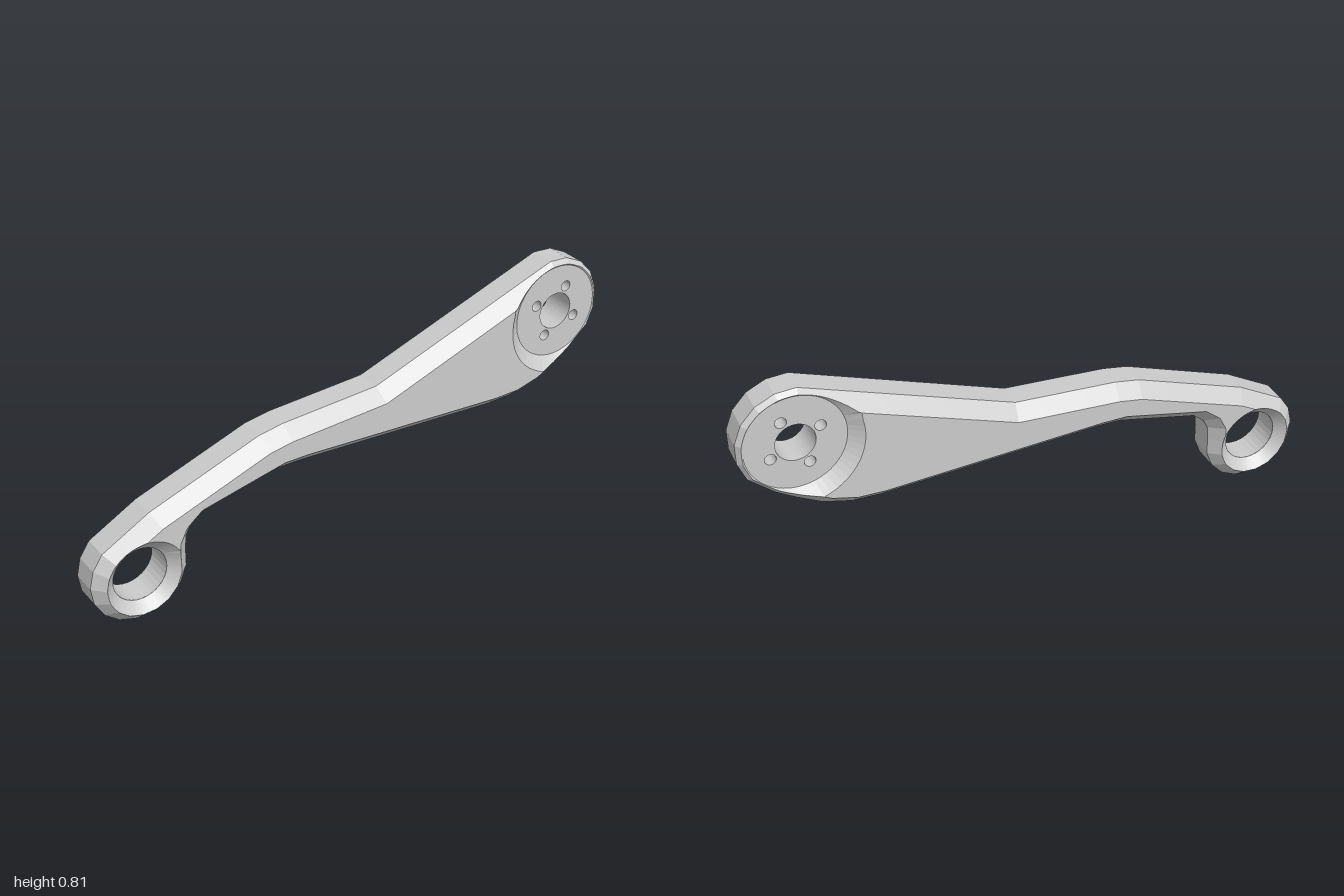
import * as THREE from 'three';

const WALL = 0.045, FULL = 0.095, INSET = 0.046;
const V = (x, y, z) => new THREE.Vector3(x, y, z);

// Conical cuts at the two ends: floor height at radius r, rising by slope
const eye = { x: -0.83, y: 0.172, r: 0.095, floor: 0.05, slope: 1 };
const mount = { x: 0.81, y: 0.627, r: 0.168, floor: 0.058, slope: 0.8 };
const coneHeight = (c, p) =>
  c.floor + Math.max(0, Math.hypot(p.x - c.x, p.y - c.y) - c.r) * c.slope;

function arc(c, r, from, to, steps) {
  return Array.from({ length: steps + 1 }, (_, i) => {
    const a = THREE.MathUtils.degToRad(from + (to - from) * i / steps);
    return [c.x + r * Math.cos(a), c.y + r * Math.sin(a)];
  });
}

// Silhouette corners, counter-clockwise
const corners = [
  [0.07, 0.56], [-0.29, 0.54], [-0.38, 0.525], [-0.78, 0.385],
  ...arc(eye, 0.17, 135, 370, 11),
  [-0.658, 0.25], [-0.64, 0.285], [-0.6, 0.317], [-0.31, 0.38], [-0.23, 0.38],
  [0.54, 0.337], [0.64, 0.34], [0.735, 0.365], [0.82, 0.41], [0.885, 0.45],
  ...arc(mount, 0.19, -33, 97, 6),
].map(([x, y]) => new THREE.Vector2(x, y));

// Mitred inset of the silhouette
function insetLoop(loop, d) {
  return loop.map((p, i) => {
    const a = loop[(i + loop.length - 1) % loop.length], b = loop[(i + 1) % loop.length];
    const u = p.clone().sub(a).normalize(), w = b.clone().sub(p).normalize();
    const n1 = new THREE.Vector2(-u.y, u.x), n2 = new THREE.Vector2(-w.y, w.x);
    const m = n1.clone().add(n2);
    return p.clone().addScaledVector(m, d / (1 + n1.dot(n2)));
  });
}

// Rim (top of side wall) and ridge (top of bevel, lowered where a cone cuts it)
function buildLoops() {
  const inner = insetLoop(corners, INSET), rim = [], ridge = [], owner = [];
  corners.forEach((p, i) => {
    const j = (i + 1) % corners.length;
    const n = Math.ceil(p.distanceTo(corners[j]) / 0.012);
    for (let k = 0; k < n; k++) {
      const o = p.clone().lerp(corners[j], k / n);
      const q = inner[i].clone().lerp(inner[j], k / n);
      const a = V(o.x, o.y, WALL), b = V(q.x, q.y, FULL);
      const cut = [eye, mount].find((c) => coneHeight(c, b) < FULL) || null;
      let t = 1;
      if (cut) {
        let lo = 0, hi = 1;
        for (let s = 0; s < 25; s++) {
          t = (lo + hi) / 2;
          const m = a.clone().lerp(b, t);
          if (m.z > coneHeight(cut, m)) hi = t; else lo = t;
        }
      }
      rim.push(a);
      ridge.push(a.clone().lerp(b, t));
      owner.push(cut);
    }
  });
  return { rim, ridge, owner };
}

// Flat face outline and the outer edge of each conical cut
function buildFaces({ ridge, owner }) {
  const face = [], cuts = [];
  let next = 0;
  for (const c of [eye, mount]) {
    const s = owner.indexOf(c), e = owner.lastIndexOf(c);
    const before = ridge[s - 1], after = ridge[e + 1];
    const angle = (p) => THREE.MathUtils.radToDeg(Math.atan2(p.y - c.y, p.x - c.x));
    const from = angle(after);
    let to = angle(before);
    while (to < from) to += 360;
    const R = c.r + (FULL - c.floor) / c.slope;
    const bow = arc(c, R, from, to, 14).slice(1, -1).map(([x, y]) => V(x, y, FULL));
    face.push(...ridge.slice(next, s), ...bow.slice().reverse());
    cuts.push({ c, loop: [...ridge.slice(s - 1, e + 2), ...bow] });
    next = e + 1;
  }
  face.push(...ridge.slice(next));
  return { face, cuts };
}

function toGeometry(points) {
  const g = new THREE.BufferGeometry().setFromPoints(points);
  g.computeVertexNormals();
  return g;
}

// Quads between two matching closed loops
function strip(lower, upper) {
  const out = [];
  lower.forEach((a, i) => {
    const j = (i + 1) % lower.length;
    out.push(a, lower[j], upper[j], a, upper[j], upper[i]);
  });
  return out;
}

// Add the same triangles on the back, with reversed winding
function mirrored(tris) {
  const back = tris.map((p) => V(p.x, p.y, -p.z));
  for (let i = 0; i < back.length; i += 3) [back[i], back[i + 1]] = [back[i + 1], back[i]];
  return [...tris, ...back];
}

export function createModel() {
  const group = new THREE.Group();
  const flat = new THREE.MeshStandardMaterial({
    color: 0xcccccc, flatShading: true, side: THREE.DoubleSide,
  });
  const add = (name, geometry) => {
    const mesh = new THREE.Mesh(geometry, flat);
    mesh.name = name;
    group.add(mesh);
    return mesh;
  };

  const loops = buildLoops();
  const { face, cuts } = buildFaces(loops);

  // Arm: edge wall, bevels and flat cheeks
  add('armEdge', toGeometry(strip(loops.rim.map((p) => V(p.x, p.y, -WALL)), loops.rim)));
  add('armBevels', toGeometry(mirrored(strip(loops.rim, loops.ridge))));
  const contour = face.map((p) => new THREE.Vector2(p.x, p.y));
  const cheeks = THREE.ShapeUtils.triangulateShape(contour, []).flat().map((i) => face[i]);
  add('armCheeks', toGeometry(mirrored(cheeks)));

  // Conical dishes around the eye and the mounting disc
  cuts.forEach(({ c, loop }) => {
    const inner = loop.map((p) => {
      const k = c.r / Math.hypot(p.x - c.x, p.y - c.y);
      return V(c.x + (p.x - c.x) * k, c.y + (p.y - c.y) * k, c.floor);
    });
    add(c === eye ? 'eyeChamfer' : 'mountDish', toGeometry(mirrored(strip(loop, inner))));
  });

  // Eye bore
  const bore = new THREE.CylinderGeometry(eye.r, eye.r, eye.floor * 2, 32, 1, true);
  bore.rotateX(Math.PI / 2);
  add('eyeBore', bore).position.set(eye.x, eye.y, 0);

  // Mounting disc with centre hole and four bolt holes
  const disc = new THREE.Shape().absarc(0, 0, mount.r + 0.001, 0, Math.PI * 2);
  const hole = (x, y, r) => disc.holes.push(new THREE.Path().absarc(x, y, r, 0, Math.PI * 2, true));
  hole(0, 0, 0.066);
  for (let i = 0; i < 4; i++) {
    const a = THREE.MathUtils.degToRad(64 + i * 90);
    hole(0.093 * Math.cos(a), 0.093 * Math.sin(a), 0.019);
  }
  const plate = new THREE.ExtrudeGeometry(disc, {
    depth: mount.floor * 2, bevelEnabled: false, curveSegments: 20,
  });
  add('mountDisc', plate).position.set(mount.x, mount.y, -mount.floor);

  return group;
}
